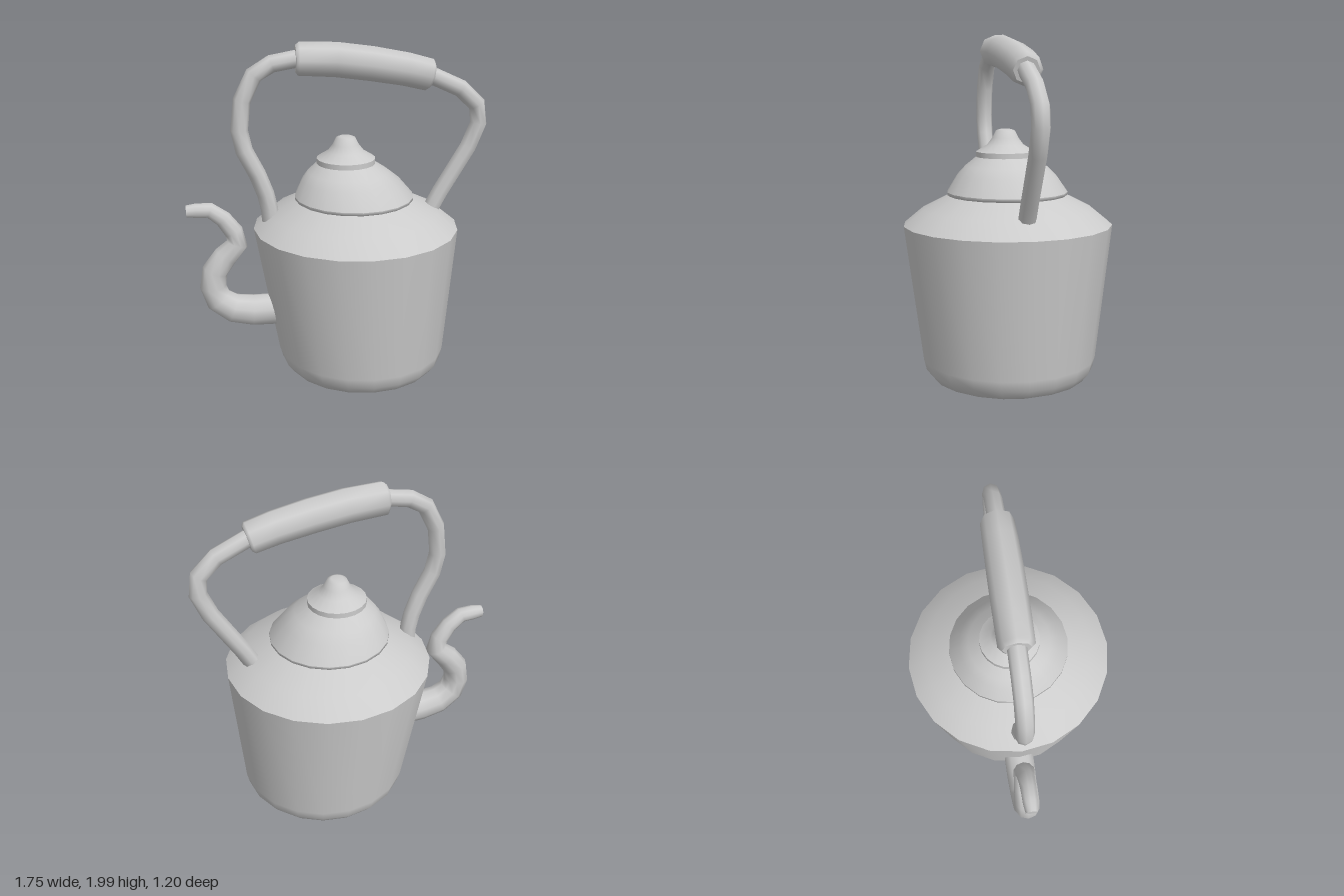
import * as THREE from 'three';

const material = new THREE.MeshStandardMaterial({ color: 0xcccccc });

function addMesh(group, name, geometry) {
  const mesh = new THREE.Mesh(geometry, material);
  mesh.name = name;
  group.add(mesh);
}

// Turned part whose axis leans sideways: profile rows are [radius, y, centre x]
function leaningLathe(profile) {
  const segments = 20;
  const geometry = new THREE.LatheGeometry(profile.map(([r, y]) => new THREE.Vector2(r, y)), segments);
  const position = geometry.attributes.position;
  for (let i = 0; i < position.count; i++) {
    position.setX(i, position.getX(i) + profile[i % profile.length][2]);
  }
  return geometry;
}

// Round bar swept along a path in the xy plane: rows are [x, y, radius]
function sweep(path, sides) {
  const vertices = [];
  const indices = [];
  const rings = path.map(([x, y, r], i) => {
    const before = path[Math.max(i - 1, 0)];
    const after = path[Math.min(i + 1, path.length - 1)];
    const tangent = new THREE.Vector2(after[0] - before[0], after[1] - before[1]).normalize();
    return Array.from({ length: sides }, (_, j) => {
      const angle = (j / sides) * Math.PI * 2;
      const side = r * Math.cos(angle);
      return [x - tangent.y * side, y + tangent.x * side, r * Math.sin(angle)];
    });
  });
  rings.forEach((ring) => ring.forEach((p) => vertices.push(...p)));
  for (let i = 0; i < path.length - 1; i++) {
    for (let j = 0; j < sides; j++) {
      const a = i * sides + j;
      const b = i * sides + (j + 1) % sides;
      indices.push(a, b, a + sides, b, b + sides, a + sides);
    }
  }
  // Flat end caps with their own vertices
  [0, path.length - 1].forEach((end) => {
    const centre = vertices.length / 3;
    vertices.push(path[end][0], path[end][1], 0);
    rings[end].forEach((p) => vertices.push(...p));
    for (let j = 0; j < sides; j++) {
      const a = centre + 1 + j;
      const b = centre + 1 + (j + 1) % sides;
      if (end === 0) indices.push(centre, b, a);
      else indices.push(centre, a, b);
    }
  });
  const geometry = new THREE.BufferGeometry();
  geometry.setAttribute('position', new THREE.Float32BufferAttribute(vertices, 3));
  geometry.setIndex(indices);
  geometry.computeVertexNormals();
  return geometry;
}

export function createModel() {
  const kettle = new THREE.Group();
  kettle.name = 'kettle';

  // Bucket-shaped body with a rounded foot
  addMesh(kettle, 'body', leaningLathe([
    [0, 0.01, 0.155], [0.37, 0.01, 0.155], [0.445, 0.04, 0.155], [0.485, 0.09, 0.155],
    [0.5, 0.15, 0.153], [0.6, 0.92, 0.115],
  ]));
  addMesh(kettle, 'shoulder', leaningLathe([
    [0.6, 0.92, 0.115], [0.49, 1.01, 0.11], [0.34, 1.085, 0.105],
  ]));

  // Domed lid and its knob, each on a thin rim
  addMesh(kettle, 'lidRim', leaningLathe([[0.33, 1.08, 0.105], [0.347, 1.09, 0.105], [0.347, 1.105, 0.105]]));
  addMesh(kettle, 'lidDome', leaningLathe([
    [0.347, 1.105, 0.105], [0.285, 1.2, 0.085], [0.235, 1.25, 0.07], [0.17, 1.3, 0.057],
  ]));
  addMesh(kettle, 'knobRim', leaningLathe([[0.17, 1.3, 0.057], [0.17, 1.33, 0.057]]));
  addMesh(kettle, 'knob', leaningLathe([
    [0.17, 1.33, 0.057], [0.105, 1.37, 0.057], [0.075, 1.41, 0.056],
    [0.055, 1.45, 0.055], [0.035, 1.458, 0.055], [0, 1.458, 0.055],
  ]));

  // Lopsided hoop handle
  const handlePath = [
    [-0.385, 0.96], [-0.39, 1.04], [-0.41, 1.13], [-0.455, 1.25], [-0.525, 1.39], [-0.55, 1.51],
    [-0.53, 1.68], [-0.46, 1.82], [-0.36, 1.88], [-0.22, 1.905], [0, 1.9], [0.3, 1.855],
    [0.54, 1.797], [0.72, 1.715], [0.82, 1.62], [0.835, 1.51], [0.78, 1.37], [0.62, 1.1], [0.565, 0.995],
  ];
  addMesh(kettle, 'handle', sweep(handlePath.map(([x, y]) => [x, y, 0.05]), 8));

  // Thick grip with bevelled ends
  addMesh(kettle, 'grip', sweep([
    [-0.228, 1.905, 0.075], [-0.21, 1.905, 0.095], [0, 1.895, 0.098], [0.2, 1.868, 0.098],
    [0.4, 1.832, 0.095], [0.535, 1.797, 0.092], [0.55, 1.793, 0.073],
  ], 8));

  // Swan-neck spout that narrows to the tip
  addMesh(kettle, 'spout', sweep([
    [-0.3, 0.405, 0.095], [-0.5, 0.405, 0.093], [-0.62, 0.425, 0.088], [-0.705, 0.485, 0.082],
    [-0.735, 0.57, 0.077], [-0.72, 0.67, 0.076], [-0.655, 0.76, 0.071], [-0.583, 0.835, 0.063],
    [-0.602, 0.91, 0.055], [-0.66, 0.99, 0.05], [-0.735, 1.045, 0.046],
    [-0.81, 1.047, 0.044], [-0.868, 1.045, 0.036],
  ], 10));

  return kettle;
}
